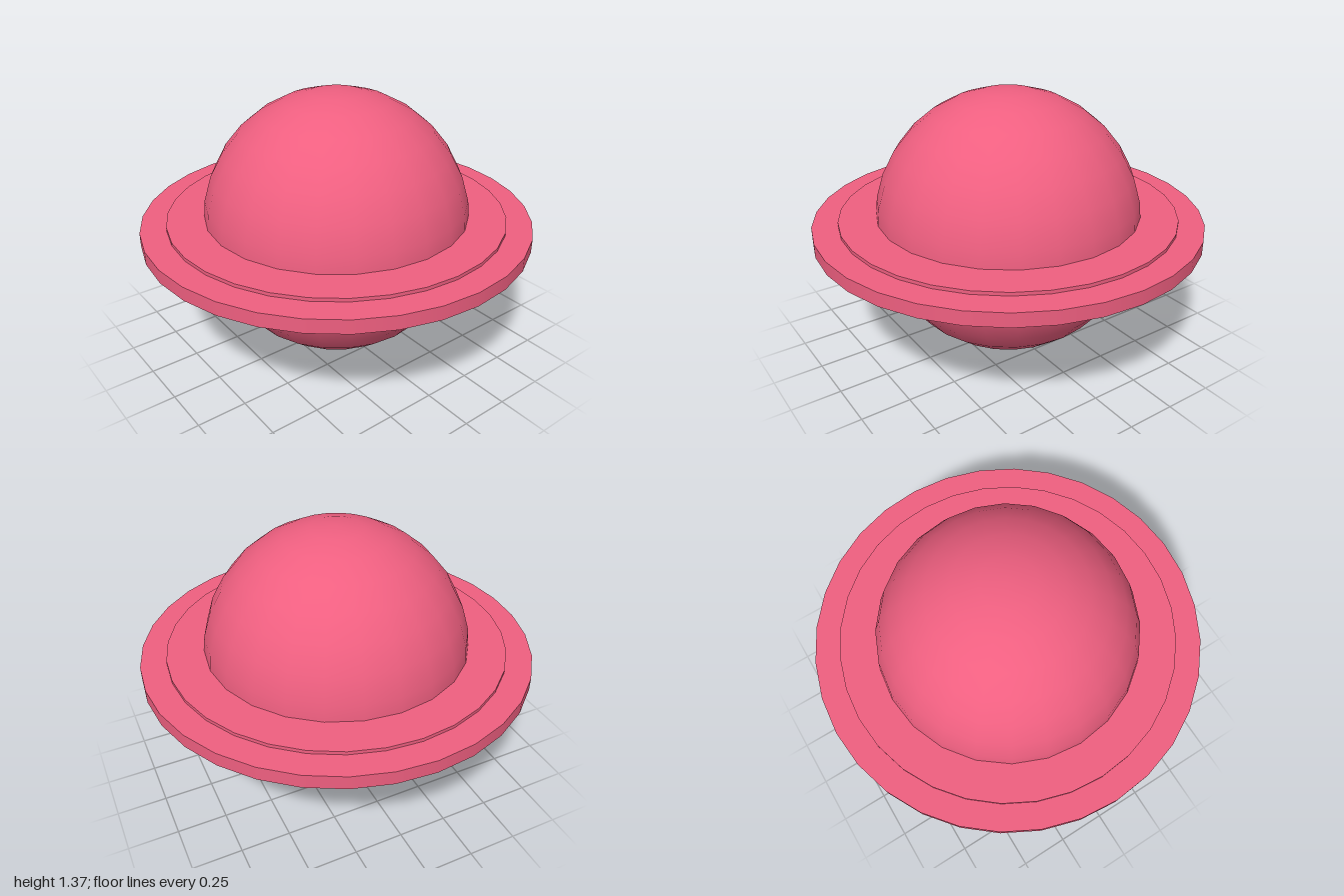
import * as THREE from 'three';

const RADIUS = 0.686;

export function createModel() {
  const group = new THREE.Group();
  const material = new THREE.MeshStandardMaterial({ color: 0xef5f80 });

  // Every part is centred on the planet's middle
  const add = (name, geometry) => {
    const mesh = new THREE.Mesh(geometry, material);
    mesh.name = name;
    mesh.position.y = RADIUS;
    group.add(mesh);
  };
  const disc = (radius, height) => new THREE.CylinderGeometry(radius, radius, height, 32);

  // Planet ball
  add('planet', new THREE.SphereGeometry(RADIUS, 24, 16));
  // Thin wide ring and the thicker, narrower ring inside it
  add('outerRing', disc(1, 0.07));
  add('innerRing', disc(0.87, 0.105));

  return group;
}
